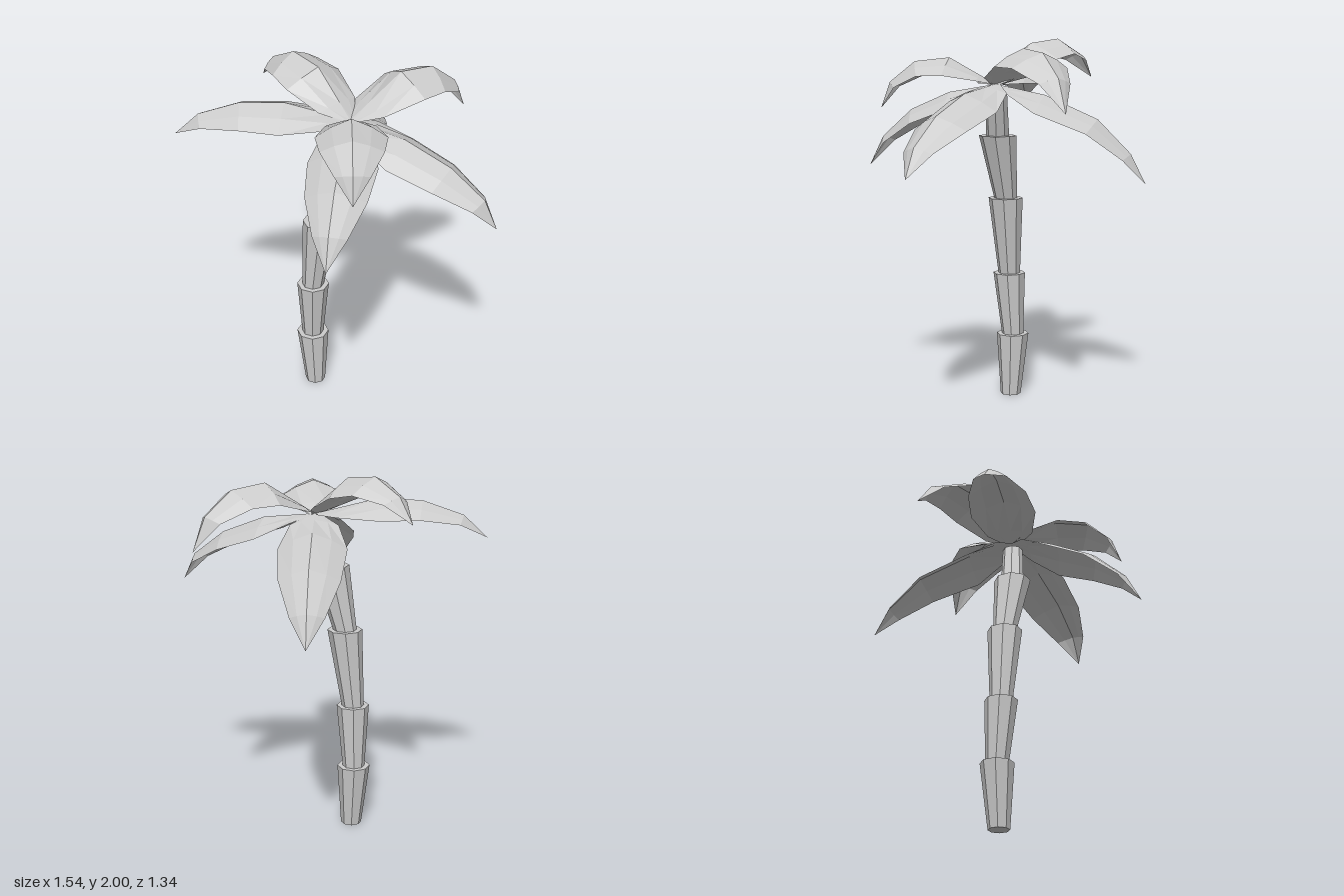
import * as THREE from 'three';

const material = new THREE.MeshStandardMaterial({ color: 0xcccccc, flatShading: true });
const leafMaterial = new THREE.MeshStandardMaterial({ color: 0xcccccc, flatShading: true, side: THREE.DoubleSide });

// Trunk joints: centre x, y, z, radius of the flared rim ending there, radius of the neck starting there
const joints = [
  [-0.116, 0, -0.08, 0, 0.057],
  [-0.123, 0.35, -0.093, 0.09, 0.061],
  [-0.125, 0.7, -0.073, 0.089, 0.061],
  [-0.089, 1.13, -0.042, 0.095, 0.064],
  [-0.03, 1.48, 0.02, 0.102, 0.063],
  [0.055, 1.73, 0.05, 0.057, 0],
];

// Leaves: tip position and midrib heights as [fraction of reach, y]
const root = new THREE.Vector3(0.045, 1.76, 0.05);
const leaves = [
  { tip: [0.77, 1.64, -0.1], rib: [[0.42, 1.95], [0.69, 1.93], [0.9, 1.81]] },
  { tip: [0.4, 1.24, -0.67], rib: [[0.33, 1.705], [0.68, 1.58], [0.9, 1.4]] },
  { tip: [-0.21, 1.785, -0.58], rib: [[0.35, 1.975], [0.63, 1.998], [0.87, 1.915]] },
  { tip: [-0.77, 1.64, -0.36], rib: [[0.37, 1.845], [0.62, 1.835], [0.86, 1.76]] },
  { tip: [-0.33, 1.31, 0.67], rib: [[0.36, 1.715], [0.66, 1.62], [0.89, 1.47]] },
  { tip: [-0.175, 1.63, 0.63], rib: [[0.4, 1.9], [0.7, 1.88], [0.92, 1.77]] },
  { tip: [0.6, 1.33, 0.65], rib: [[0.37, 1.72], [0.68, 1.62], [0.91, 1.48]] },
];
const halfWidths = [0.03, 0.128, 0.18, 0.157, 0.088, 0];
// Fold of each section: nearly flat at the base, arched from the middle on
const folds = [0.2, 0.45, 1, 1, 1, 1];
// Arched cross-section as fractions of the half width: across, up
const section = [[-1, -0.52], [-0.55, -0.23], [0, 0], [0.55, -0.23], [1, -0.52]];

// Leaning, upward-flaring trunk segment
function trunkSegment(a, b) {
  const h = b[1] - a[1];
  const geo = new THREE.CylinderGeometry(b[3], a[4], h, 8);
  geo.rotateY(Math.PI / 8);
  const p = geo.attributes.position;
  for (let i = 0; i < p.count; i++) {
    const t = p.getY(i) / h + 0.5;
    p.setXYZ(i,
      p.getX(i) + THREE.MathUtils.lerp(a[0], b[0], t),
      a[1] + t * h,
      p.getZ(i) + THREE.MathUtils.lerp(a[2], b[2], t));
  }
  geo.computeVertexNormals();
  return new THREE.Mesh(geo, material);
}

// Arched leaf lofted through sections square to its midrib
function leafGeometry({ tip, rib }) {
  const end = new THREE.Vector3(...tip);
  const ribPoint = ([t, y]) => root.clone().lerp(end, t).setY(y);
  const first = ribPoint(rib[0]);
  const points = [root, root.clone().lerp(first, 0.33), first, ribPoint(rib[1]), ribPoint(rib[2]), end];
  const across = new THREE.Vector3().subVectors(end, root).setY(0).normalize()
    .cross(new THREE.Vector3(0, 1, 0));

  const positions = [], index = [], n = section.length;
  points.forEach((point, i) => {
    const before = points[Math.max(i - 1, 0)], after = points[Math.min(i + 1, points.length - 1)];
    const up = across.clone().cross(after.clone().sub(before).normalize());
    const w = halfWidths[i];
    for (const [u, v] of section) {
      positions.push(...point.clone().addScaledVector(across, u * w)
        .addScaledVector(up, v * w * folds[i]).toArray());
    }
    if (i === 0) return;
    for (let j = 0; j < n - 1; j++) {
      const a = (i - 1) * n + j, c = a + n;
      index.push(a, a + 1, c);
      if (i < points.length - 1) index.push(a + 1, c + 1, c);
    }
  });
  const geo = new THREE.BufferGeometry();
  geo.setAttribute('position', new THREE.Float32BufferAttribute(positions, 3));
  geo.setIndex(index);
  geo.computeVertexNormals();
  return geo;
}

export function createModel() {
  const model = new THREE.Group();
  model.name = 'palmTree';

  const trunk = new THREE.Group();
  trunk.name = 'trunk';
  for (let i = 0; i < joints.length - 1; i++) {
    const segment = trunkSegment(joints[i], joints[i + 1]);
    segment.name = `trunkSegment${i + 1}`;
    trunk.add(segment);
  }

  const crown = new THREE.Group();
  crown.name = 'crown';
  leaves.forEach((leaf, i) => {
    const mesh = new THREE.Mesh(leafGeometry(leaf), leafMaterial);
    mesh.name = `leaf${i + 1}`;
    crown.add(mesh);
  });

  model.add(trunk, crown);
  return model;
}
